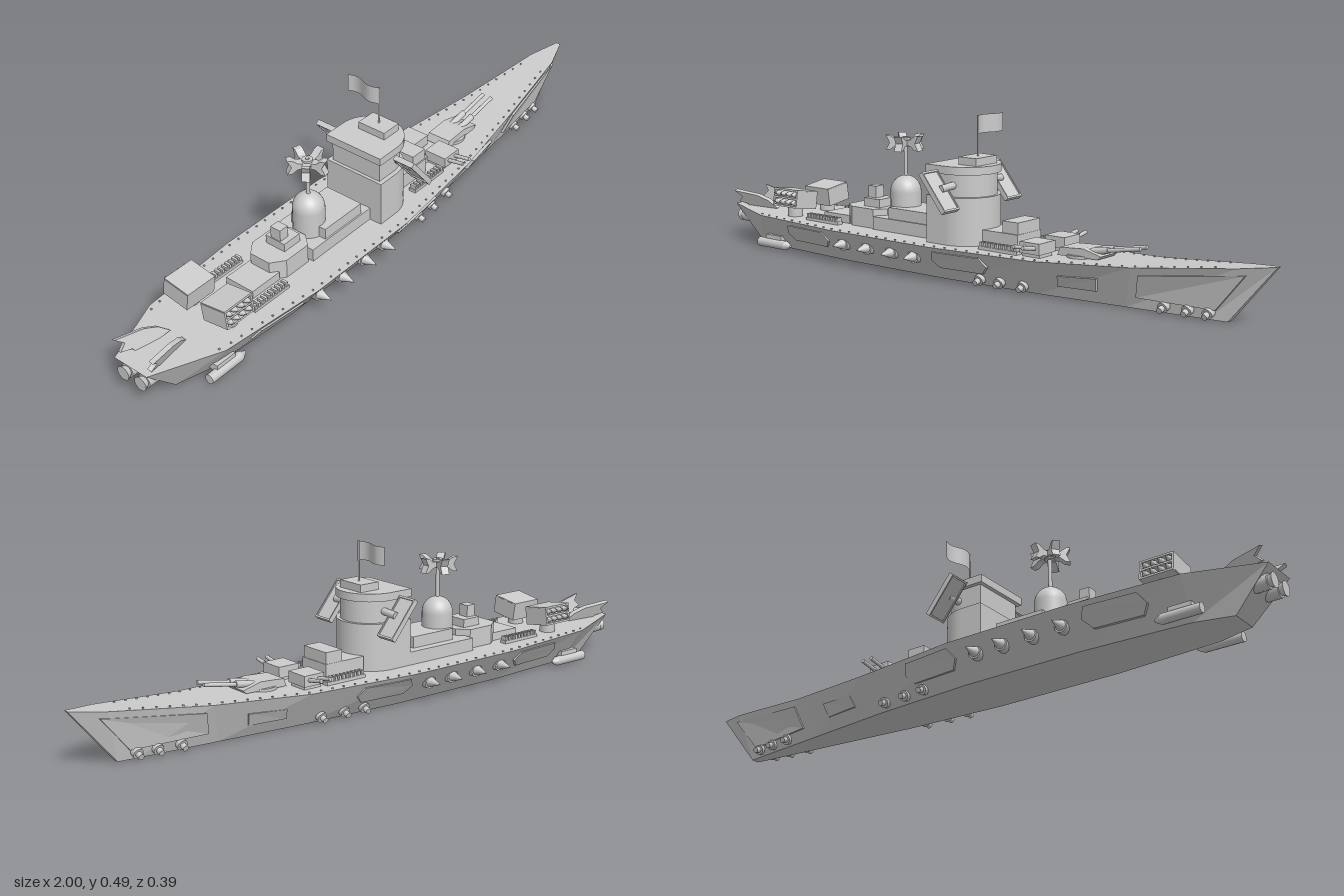
import * as THREE from 'three';

const grey = new THREE.MeshStandardMaterial({ color: 0xcccccc, flatShading: true, side: THREE.DoubleSide });
const smooth = new THREE.MeshStandardMaterial({ color: 0xcccccc });

// Hull stations: deck x, deck half-width, deck y, keel x, keel half-width
const KEEL = 0.005;
const STATIONS = [
  [-1, 0.06, 0.12, -0.89, 0.045], [-0.79, 0.145, 0.115, -0.78, 0.075],
  [-0.45, 0.172, 0.112, -0.45, 0.095], [-0.05, 0.172, 0.112, -0.05, 0.095],
  [0.3, 0.135, 0.112, 0.28, 0.075], [0.6, 0.088, 0.128, 0.56, 0.045],
  [0.9, 0.042, 0.16, 0.8, 0.02], [1, 0.008, 0.172, 0.86, 0.012],
];

// Linear interpolation through rows sorted by their first entry
function sample(rows, x) {
  let i = 0;
  while (i < rows.length - 2 && x > rows[i + 1][0]) i++;
  const [a, b] = [rows[i], rows[i + 1]];
  const t = THREE.MathUtils.clamp((x - a[0]) / (b[0] - a[0]), 0, 1);
  return a.map((v, k) => v + (b[k] - v) * t);
}
const deckAt = (x) => sample(STATIONS, x);
const sideZ = (x, y) => sample(STATIONS.map(([xt, wt, yt, xb, wb]) => {
  const t = (y - KEEL) / (yt - KEEL);
  return [xb + (xt - xb) * t, wb + (wt - wb) * t];
}), x)[1];

function hullGeometry() {
  const rings = STATIONS.map(([xt, wt, yt, xb, wb]) =>
    [[xt, yt, wt], [xt, yt, -wt], [xb, KEEL, -wb], [xb, KEEL, wb]]);
  const pos = [];
  const quad = (a, b, c, d) => pos.push(...a, ...b, ...c, ...a, ...c, ...d);
  for (let i = 0; i < rings.length - 1; i++)
    for (let j = 0; j < 4; j++) {
      const k = (j + 1) % 4;
      quad(rings[i][j], rings[i + 1][j], rings[i + 1][k], rings[i][k]);
    }
  quad(...rings[0]);
  quad(...rings[rings.length - 1].slice().reverse());
  const g = new THREE.BufferGeometry();
  g.setAttribute('position', new THREE.Float32BufferAttribute(pos, 3));
  g.computeVertexNormals();
  return g;
}

const outline = (pts) => new THREE.Shape(pts.map((p) => new THREE.Vector2(...p)));
const slab = (pts, depth) => new THREE.ExtrudeGeometry(outline(pts), { depth, bevelEnabled: false, curveSegments: 8 });

// Raised plate that follows the hull side; s picks the side
function platingGeometry(pts, s) {
  const g = slab(pts, 1);
  const p = g.attributes.position;
  for (let i = 0; i < p.count; i++)
    p.setZ(i, s * (sideZ(p.getX(i), p.getY(i)) - 0.004 + 0.011 * p.getZ(i)));
  if (s < 0) {
    const a = p.array;
    for (let i = 0; i < a.length; i += 9)
      for (let k = 3; k < 6; k++) [a[i + k], a[i + k + 3]] = [a[i + k + 3], a[i + k]];
  }
  g.computeVertexNormals();
  return g;
}

export function createModel() {
  const ship = new THREE.Group();
  ship.name = 'warship';
  const add = (name, geo, x = 0, y = 0, z = 0, mat = grey, parent = ship) => {
    const m = new THREE.Mesh(geo, mat);
    m.name = name;
    m.position.set(x, y, z);
    parent.add(m);
    return m;
  };
  // Box given by its min and max corners
  const box = (name, x0, x1, y0, y1, z0, z1, parent = ship) =>
    add(name, new THREE.BoxGeometry(x1 - x0, y1 - y0, z1 - z0), (x0 + x1) / 2, (y0 + y1) / 2, (z0 + z1) / 2, grey, parent);
  // Cylinder or cone from point a to point b
  const rod = (name, a, b, r0, r1 = r0, sides = 12, parent = ship) => {
    const A = new THREE.Vector3(...a), B = new THREE.Vector3(...b);
    const m = add(name, new THREE.CylinderGeometry(r1, r0, A.distanceTo(B), sides), 0, 0, 0, smooth, parent);
    m.position.copy(A).lerp(B, 0.5);
    m.quaternion.setFromUnitVectors(new THREE.Vector3(0, 1, 0), B.clone().sub(A).normalize());
    return m;
  };

  add('hull', hullGeometry());

  const hexPlate = (x) => [[x, 0.07], [x + 0.02, 0.045], [x + 0.17, 0.045], [x + 0.195, 0.07], [x + 0.18, 0.098], [x + 0.02, 0.098]];
  const plates = [hexPlate(-0.68), hexPlate(-0.06),
    [[0.36, 0.042], [0.48, 0.042], [0.49, 0.082], [0.37, 0.075]],
    [[0.6, 0.04], [0.83, 0.035], [0.92, 0.142], [0.62, 0.108]]];

  for (const s of [1, -1]) {
    plates.forEach((p) => add('hullPlate', platingGeometry(p, s)));

    // Side spikes on round collars
    for (const x of [-0.42, -0.32, -0.22, -0.13]) {
      const z = sideZ(x, 0.07);
      rod('spikeCollar', [x, 0.07, s * (z - 0.02)], [x, 0.07, s * (z + 0.008)], 0.021);
      rod('sideSpike', [x, 0.07, s * (z + 0.008)], [x, 0.07, s * 0.192], 0.016, 0.001);
    }
    // Low nozzles angled down and out
    for (const x of [0.09, 0.16, 0.24, 0.68, 0.75, 0.81]) {
      const z = sideZ(x, 0.025);
      rod('lowNozzle', [x, 0.032, s * (z - 0.015)], [x, 0.022, s * (z + 0.013)], 0.016);
      rod('nozzleTip', [x, 0.022, s * (z + 0.013)], [x, 0.017, s * (z + 0.028)], 0.009);
    }
    // Stern pods, engines and fins
    rod('sternPod', [-0.83, 0.02, s * 0.112], [-0.71, 0.02, s * 0.112], 0.015);
    rod('podNose', [-0.71, 0.02, s * 0.112], [-0.69, 0.02, s * 0.112], 0.015, 0.004);
    box('podStrut', -0.8, -0.73, 0.025, 0.048, s * 0.095 - 0.02, s * 0.095 + 0.02);
    rod('engine', [-0.92, 0.08, s * 0.032], [-0.985, 0.08, s * 0.032], 0.022);
    rod('engineNozzle', [-0.985, 0.08, s * 0.032], [-1, 0.08, s * 0.032], 0.016, 0.022);
    const fin = add('sternFin', slab([[-0.83, 0], [-0.86, 0.028], [-0.9, 0.045], [-0.99, 0.06], [-0.965, 0.038],
      [-0.985, 0.02], [-0.95, 0.012], [-0.94, -0.01]], 0.014).translate(0.9, 0, -0.007), -0.9, 0.116, s * 0.037);
    fin.rotation.set(s * 0.35, s * 0.15, 0);

    // Missile racks
    const rack = new THREE.Group();
    rack.name = 'missileRack';
    rack.position.set(-0.705, 0.113, s * 0.072);
    ship.add(rack);
    rod('rackPost', [0, 0, 0], [0, 0.035, 0], 0.025, 0.025, 12, rack);
    const crate = new THREE.Group();
    crate.position.y = 0.058;
    crate.rotation.x = -s * 0.15;
    rack.add(crate);
    for (const y of [-0.026, 0, 0.026]) box('rackShelf', -0.052, 0.052, y - 0.003, y + 0.003, -0.045, 0.045, crate);
    box('rackBack', -0.052, 0.052, -0.026, 0.026, -s * 0.02 - 0.025, -s * 0.02 + 0.025, crate);
    for (const x of [-0.05, 0.05]) box('rackWall', x - 0.003, x + 0.003, -0.026, 0.026, -0.045, 0.045, crate);
    for (let i = 0; i < 4; i++) for (const y of [-0.013, 0.013]) {
      const x = -0.036 + i * 0.024;
      rod('missile', [x, y, 0], [x, y, s * 0.04], 0.009, 0.009, 8, crate);
      rod('missileNose', [x, y, s * 0.04], [x, y, s * 0.058], 0.009, 0.001, 8, crate);
    }

    // Rows of small launch tubes
    for (const x0 of [-0.63, 0.08]) {
      box('tubeBase', x0, x0 + 0.14, 0.105, 0.122, s * 0.088 - 0.012, s * 0.088 + 0.012);
      for (let i = 0; i < 10; i++)
        box('launchTube', x0 + 0.003 + i * 0.014, x0 + 0.011 + i * 0.014, 0.12, 0.134, s * 0.088 - 0.01, s * 0.088 + 0.01);
    }
    // Twin side guns
    box('sideGunBase', 0.235, 0.295, 0.1, 0.125, s * 0.06 - 0.03, s * 0.06 + 0.03);
    box('sideGunHouse', 0.23, 0.3, 0.122, 0.155, s * 0.06 - 0.038, s * 0.06 + 0.038);
    for (const x of [0.25, 0.282]) rod('sideGunBarrel', [x, 0.137, s * 0.08], [x, 0.15, s * 0.152], 0.006, 0.006, 8);
    // Deck edge studs
    for (let i = 0; i < 44; i++) {
      const x = -0.8 + i * 0.038, [, w, y] = deckAt(x);
      box('deckStud', x - 0.002, x + 0.002, y - 0.003, y + 0.004, s * (w - 0.013) - 0.002, s * (w - 0.013) + 0.002);
    }
    // Tilted side panels of the tower: rim and inset face
    const panel = new THREE.Group();
    panel.name = 'towerPanel';
    panel.position.set(-0.015, 0.278, 0.015 + s * 0.146);
    panel.rotation.z = 0.68;
    ship.add(panel);
    box('panelFace', -0.004, 0.004, -0.067, 0.067, -0.034, 0.034, panel);
    for (const e of [-1, 1]) {
      box('panelRim', -0.008, 0.008, e * 0.066 - 0.003, e * 0.066 + 0.003, -0.034, 0.034, panel);
      box('panelRim', -0.008, 0.008, -0.067, 0.067, e * 0.032 - 0.002, e * 0.032 + 0.002, panel);
    }
    rod('panelAxle', [-0.015, 0.29, 0.015 + s * 0.07], [-0.015, 0.285, 0.015 + s * 0.14], 0.011);
  }

  // Aft superstructure
  box('aftStep', -0.59, -0.48, 0.1, 0.138, -0.045, 0.055);
  const prism = (name, pts, y0, y1) => add(name, slab(pts, y1 - y0).rotateX(-Math.PI / 2), 0, y0, 0);
  prism('aftBlock', [[-0.5, -0.035], [-0.46, -0.065], [-0.37, -0.065], [-0.34, -0.03], [-0.34, 0.03], [-0.37, 0.065], [-0.46, 0.065], [-0.5, 0.035]], 0.1, 0.172);
  box('aftCabin', -0.435, -0.37, 0.17, 0.198, -0.035, 0.035);
  box('aftLookout', -0.432, -0.4, 0.195, 0.235, -0.018, 0.018);
  box('midDeckhouse', -0.36, -0.09, 0.1, 0.152, -0.088, 0.075);
  box('midDeckhouseTop', -0.3, -0.14, 0.15, 0.187, -0.06, 0.07);

  // Domed radar house
  const dome = [[0.048, 0], [0.048, 0.11]];
  for (let i = 1; i <= 8; i++) dome.push([Math.max(0.0001, 0.048 * Math.cos(i * Math.PI / 16)), 0.11 + 0.05 * Math.sin(i * Math.PI / 16)]);
  add('radarDome', new THREE.LatheGeometry(dome.map((p) => new THREE.Vector2(...p)), 24), -0.29, 0.12, 0, smooth);
  rod('radarMast', [-0.29, 0.27, 0], [-0.29, 0.4, 0], 0.006);
  rod('radarHub', [-0.29, 0.37, 0], [-0.29, 0.397, 0], 0.016);
  const arm = [[0.008, -0.008], [0.03, -0.01], [0.046, -0.022], [0.06, -0.023], [0.048, 0], [0.06, 0.023], [0.046, 0.022], [0.03, 0.01], [0.008, 0.008]];
  for (let i = 0; i < 5; i++)
    add('radarArm', slab(arm, 0.024).translate(0, 0, -0.012), -0.29, 0.382, 0).rotation.y = i * Math.PI * 0.4;

  // Bridge tower: flat at the back, rounded toward the bow
  const tower = (name, x0, x1, hw, y0, y1) => {
    const sh = new THREE.Shape();
    const bulge = Math.min(hw, (x1 - x0) * 0.6);
    sh.moveTo(x0, -hw).lineTo(x1 - bulge, -hw);
    sh.absellipse(x1 - bulge, 0, bulge, hw, -Math.PI / 2, Math.PI / 2, false);
    sh.lineTo(x0, hw);
    const g = new THREE.ExtrudeGeometry(sh, { depth: y1 - y0, bevelEnabled: false, curveSegments: 20 });
    add(name, g.rotateX(-Math.PI / 2), 0, y0, 0.014, smooth);
  };
  tower('towerBase', -0.105, 0.068, 0.102, 0.1, 0.255);
  tower('towerUpper', -0.095, 0.058, 0.088, 0.255, 0.324);
  tower('towerRoof', -0.108, 0.07, 0.101, 0.322, 0.346);
  box('roofCabin', -0.025, 0.042, 0.345, 0.369, -0.033, 0.063);

  // Flag
  rod('flagPole', [0.01, 0.36, 0.015], [0.01, 0.49, 0.015], 0.003, 0.003, 8);
  const flag = new THREE.PlaneGeometry(0.116, 0.055, 16, 1).rotateY(Math.PI / 2).translate(0, 0, -0.058);
  const fp = flag.attributes.position;
  for (let i = 0; i < fp.count; i++) fp.setX(i, 0.008 * Math.sin(fp.getZ(i) * 54));
  flag.computeVertexNormals();
  add('flag', flag, 0.01, 0.461, 0.014);

  // Forward deckhouse
  box('foreDeckhouse', 0.05, 0.19, 0.1, 0.16, -0.055, 0.055);
  box('foreCabin', 0.13, 0.188, 0.158, 0.195, -0.054, 0.051);
  box('foreStep', 0.18, 0.24, 0.1, 0.135, -0.03, 0.03);

  // Main gun: low wedge house with two long raised barrels
  rod('mainGunRing', [0.385, 0.105, 0], [0.385, 0.125, 0], 0.05, 0.05, 20);
  add('mainGunHouse', slab([[0.32, 0.118], [0.46, 0.122], [0.47, 0.132], [0.41, 0.147], [0.33, 0.142]], 0.08).translate(0, 0, -0.04));
  for (const z of [-0.016, 0.016]) {
    rod('mainGunSleeve', [0.4, 0.134, z], [0.48, 0.148, z], 0.01);
    rod('mainGunBarrel', [0.46, 0.144, z], [0.585, 0.166, z], 0.006);
  }
  return ship;
}
